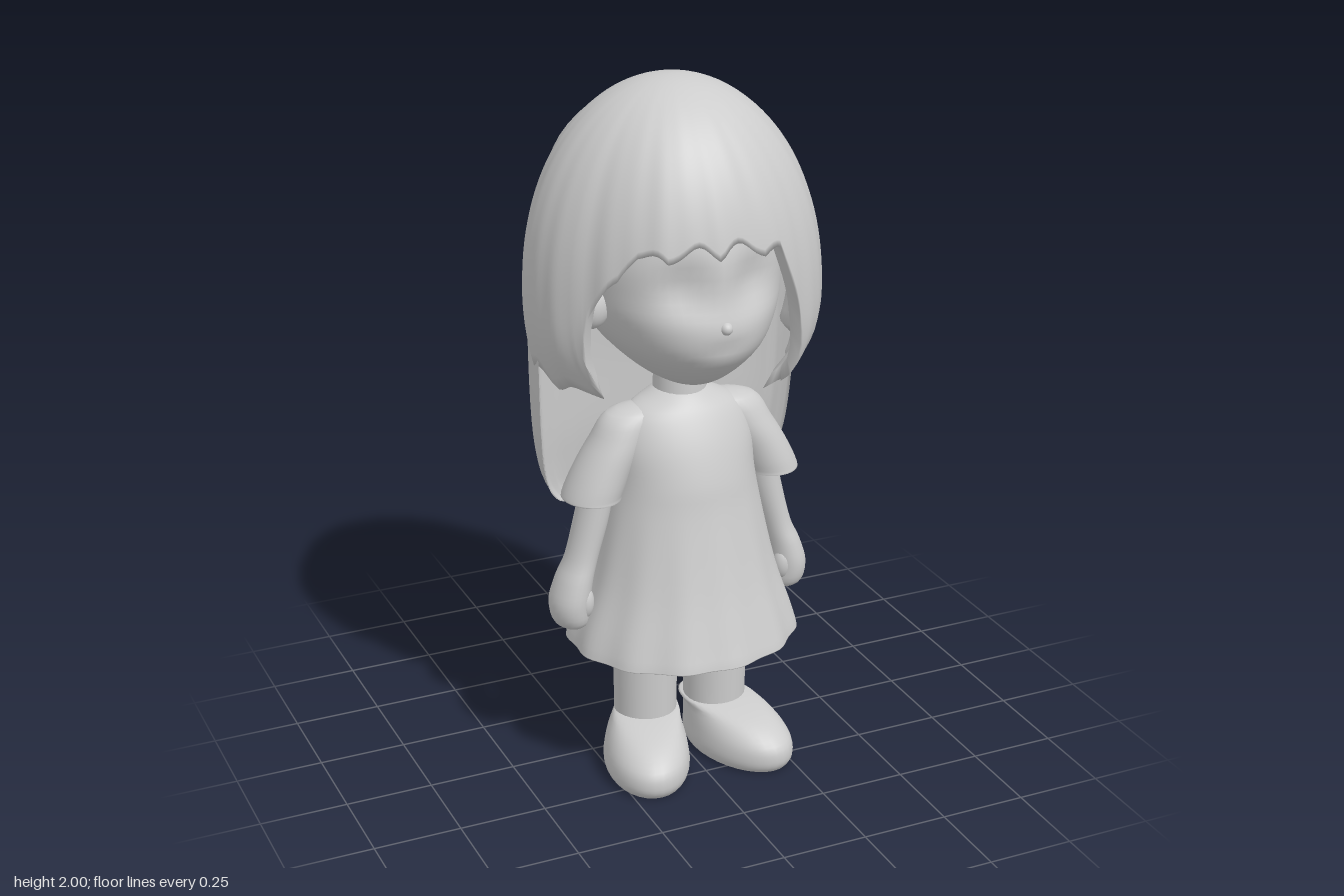
import * as THREE from 'three';

const { sin, cos, abs, sign, exp, max, sqrt, PI } = Math;

// Closed surface: rows run from top to bottom, columns run round the y axis
function surface(rows, cols, point) {
  const pos = [], index = [];
  for (let i = 0; i <= rows; i++)
    for (let j = 0; j < cols; j++) pos.push(...point(i / rows, (j / cols) * 2 * PI));
  for (let i = 0; i < rows; i++)
    for (let j = 0; j < cols; j++) {
      const k = (j + 1) % cols;
      const a = i * cols + j, b = a + cols, c = i * cols + k, d = c + cols;
      index.push(a, b, c, b, d, c);
    }
  const g = new THREE.BufferGeometry();
  g.setAttribute('position', new THREE.Float32BufferAttribute(pos, 3));
  g.setIndex(index);
  g.computeVertexNormals();
  return g;
}

// Catmull-Rom sample through rows of numbers
function sample(list, u) {
  const n = list.length - 1, i = Math.min(Math.floor(u * n), n - 1), t = u * n - i;
  const at = k => list[max(0, Math.min(n, k))];
  return list[i].map((p1, c) => {
    const p0 = at(i - 1)[c], p2 = at(i + 1)[c], p3 = at(i + 2)[c];
    return p1 + 0.5 * t * (p2 - p0 + t * (2 * p0 - 5 * p1 + 4 * p2 - p3 + t * (3 * (p1 - p2) + p3 - p0)));
  });
}

// Elliptical sections [y, centreX, centreZ, radiusX, radiusZ], top first
function loft(sections, cols = 32, ripple = () => 1) {
  return surface((sections.length - 1) * 4, cols, (u, a) => {
    const [y, cx, cz, rx, rz] = sample(sections, u);
    const k = ripple(y, a);
    return [cx + max(rx, 0) * k * sin(a), y, cz + max(rz, 0) * k * cos(a)];
  });
}

// Move the vertices of a geometry by a rule
function bend(g, rule) {
  const p = g.attributes.position;
  for (let i = 0; i < p.count; i++) p.setXYZ(i, ...rule(p.getX(i), p.getY(i), p.getZ(i)));
  g.computeVertexNormals();
  return g;
}

// Linear lookup in [key, value] pairs
function lookup(table, x) {
  for (let i = 1; i < table.length; i++)
    if (x <= table[i][0]) {
      const [x0, y0] = table[i - 1], [x1, y1] = table[i];
      return y0 + ((y1 - y0) * (x - x0)) / (x1 - x0);
    }
  return table[table.length - 1][1];
}

const bump = (x, centre, width) => exp(-(((x - centre) / width) ** 2));
const mirror = (sections, s) => sections.map(([y, x, ...rest]) => [y, x * s, ...rest]);

export function createModel() {
  const model = new THREE.Group();
  const clay = new THREE.MeshStandardMaterial({ color: 0xcccccc });
  clay.name = 'light grey';
  const add = (name, geometry) => {
    const mesh = new THREE.Mesh(geometry, clay);
    mesh.name = name;
    model.add(mesh);
    return mesh;
  };
  const ball = (name, x, y, z, rx, ry, rz) => {
    const mesh = add(name, new THREE.SphereGeometry(1, 20, 14));
    mesh.position.set(x, y, z);
    mesh.scale.set(rx, ry, rz);
  };

  // Head with shallow eye sockets and a mouth crease
  const head = loft([
    [1.85, 0, 0.02, 0, 0], [1.79, 0, 0.02, 0.2, 0.2], [1.6, 0, 0.03, 0.28, 0.3],
    [1.46, 0, 0.03, 0.28, 0.32], [1.38, 0, 0.03, 0.26, 0.335], [1.3, 0, 0.04, 0.215, 0.31],
    [1.22, 0, 0.06, 0.135, 0.21], [1.175, 0, 0.08, 0.06, 0.1], [1.165, 0, 0.08, 0, 0],
  ], 64);
  add('head', bend(head, (x, y, z) => {
    const dent = 0.035 * bump(abs(x), 0.1, 0.07) * bump(y, 1.51, 0.07) + 0.008 * bump(x, 0, 0.06) * bump(y, 1.335, 0.02);
    return [x, y, z > 0.1 ? z - dent : z];
  }));
  ball('nose', 0, 1.395, 0.356, 0.018, 0.018, 0.02);
  ball('ear', -0.285, 1.42, 0.12, 0.05, 0.06, 0.04);
  add('neck', new THREE.CylinderGeometry(0.07, 0.08, 0.2, 24)).position.set(0, 1.14, 0.06);

  // Hair cap: the hem leaves the face open and drops to a bob that curls in under the jaw
  const hemBack = [[88, 1.18], [100, 1.2], [115, 1.27], [140, 1.35], [180, 1.35]];
  const hemLeft = [[0, 1.6], [24, 1.57], [34, 1.38], [42, 1.19], [48, 1.14], [65, 1.14], ...hemBack];
  const hemRight = [[0, 1.6], [36, 1.58], [49, 1.49], [58, 1.38], [64, 1.2], [68, 1.14], [75, 1.15], ...hemBack];
  add('hairCap', surface(72, 180, (u, a) => {
    const turn = (a > PI ? a - 2 * PI : a) * 180 / PI, deg = abs(turn);
    const inner = u > 0.5;
    const t = inner ? (1 - u) * 2 : u * 2;
    const tufts = 0.03 * abs(sin(a * 9 + 0.6)) + 0.008 * sin(a * 23);
    const hem = lookup(a > PI ? hemRight : hemLeft, deg) + tufts;
    const y = 2 - (2 - hem) * (1 - cos(t * PI / 2));
    const up = max(0, (y - 1.4) / 0.6), down = max(0, (1.4 - y) / 0.25);
    const curl = 0.3 * bump(deg, 54, 24) * down ** 3;
    // Fuller on the left of the face, flatter on the right where the hair is tucked back
    const uneven = 0.02 * bump(turn, 55, 25) - 0.065 * bump(turn, -58, 20);
    const k = (inner ? 0.91 : 1) * (1 + t * (uneven + 0.006 * sin(a * 15 + 2 * t) + 0.004 * sin(a * 31 - 3 * t)));
    const rx = 0.415 * k * (sqrt(max(0, 1 - up ** 2.15)) - 0.1 * down ** 2 - curl);
    const rz = (cos(a) > 0 ? 0.388 : 0.36) * k * (sqrt(max(0, 1 - up ** 2.5)) - 0.1 * down ** 2);
    return [rx * sin(a), inner ? y - 0.03 * (1 - t) : y, rz * cos(a)];
  }));

  // Long back hair, hollowed towards the neck: [y, half width, front z, back depth, hollow]
  const curtain = [
    [1.95, 0, -0.08, 0, 0], [1.92, 0.13, -0.06, 0.175, 0], [1.8, 0.28, -0.05, 0.272, 0], [1.6, 0.355, -0.03, 0.335, 0.02],
    [1.4, 0.385, -0.015, 0.36, 0.06], [1.2, 0.39, -0.005, 0.368, 0.09], [1.0, 0.382, -0.015, 0.344, 0.09],
    [0.88, 0.365, -0.03, 0.307, 0.09], [0.81, 0.335, -0.05, 0.265, 0.08], [0.77, 0.28, -0.08, 0.22, 0.05],
    [0.76, 0.15, -0.14, 0.1, 0.02], [0.77, 0, -0.18, 0, 0],
  ];
  add('backHair', surface(55, 96, (u, a) => {
    const [y, w, z, d, hollow] = sample(curtain, u);
    const c = cos(a), s = sin(a);
    const k = 1 + 0.006 * sin(a * 19) + 0.004 * sin(a * 33 + y * 4);
    return [w * k * sign(s) * abs(s) ** 0.78, y, z + (c > 0 ? -hollow * c : d * k * c)];
  }));

  // Dress with a pleated, flared skirt and a closed underside
  add('dress', loft([
    [1.14, 0, 0.06, 0.065, 0.06], [1.12, 0, 0.065, 0.1, 0.082], [1.08, 0, 0.076, 0.17, 0.105],
    [1.0, 0, 0.083, 0.2, 0.138], [0.9, 0, 0.085, 0.205, 0.168], [0.8, 0, 0.085, 0.222, 0.187],
    [0.6, 0, 0.08, 0.268, 0.24], [0.46, 0, 0.076, 0.316, 0.285], [0.4, 0, 0.076, 0.332, 0.303],
    [0.395, 0, 0.076, 0.325, 0.296], [0.42, 0, 0.076, 0.26, 0.23], [0.44, 0, 0.076, 0, 0],
  ], 96, (y, a) => 1 + 0.016 * max(0, (0.85 - y) / 0.45) * sin(a * 13)));

  for (const s of [1, -1]) {
    const side = s > 0 ? 'left' : 'right';
    const limb = (sections, cols) => loft(mirror(sections, s), cols);

    add(side + 'Sleeve', limb([
      [1.105, 0.1, 0.068, 0, 0], [1.085, 0.14, 0.07, 0.08, 0.06], [1.01, 0.19, 0.07, 0.083, 0.082],
      [0.93, 0.238, 0.07, 0.083, 0.09], [0.86, 0.27, 0.07, 0.083, 0.094], [0.85, 0.27, 0.07, 0.074, 0.086],
      [0.88, 0.26, 0.07, 0, 0],
    ]));

    // Arm ending in a mitten hand
    add(side + 'Arm', limb([
      [0.95, 0.24, 0.065, 0.04, 0.05], [0.8, 0.265, 0.06, 0.048, 0.056], [0.67, 0.3, 0.06, 0.046, 0.057],
      [0.6, 0.325, 0.06, 0.052, 0.068], [0.53, 0.34, 0.06, 0.056, 0.074], [0.47, 0.335, 0.06, 0.046, 0.058],
      [0.445, 0.325, 0.06, 0, 0],
    ], 24));
    ball(side + 'Thumb', s * 0.31, 0.54, 0.098, 0.028, 0.05, 0.03);

    const leg = add(side + 'Leg', new THREE.CylinderGeometry(0.095, 0.09, 0.4, 28));
    leg.position.set(s * 0.11, 0.3, 0.065);

    // Rounded shoe, toe turned slightly outwards
    const shoe = limb([
      [0.155, 0.118, 0.065, 0, 0], [0.15, 0.12, 0.065, 0.088, 0.092], [0.125, 0.135, 0.115, 0.105, 0.155],
      [0.08, 0.143, 0.148, 0.12, 0.19], [0.035, 0.145, 0.153, 0.126, 0.197], [0.005, 0.145, 0.152, 0.118, 0.185],
      [0, 0.145, 0.152, 0.1, 0.16], [0, 0.145, 0.152, 0, 0],
    ]);
    add(side + 'Shoe', bend(shoe, (x, y, z) => [x + s * 0.17 * (z - 0.15), y, z]));
  }
  return model;
}
